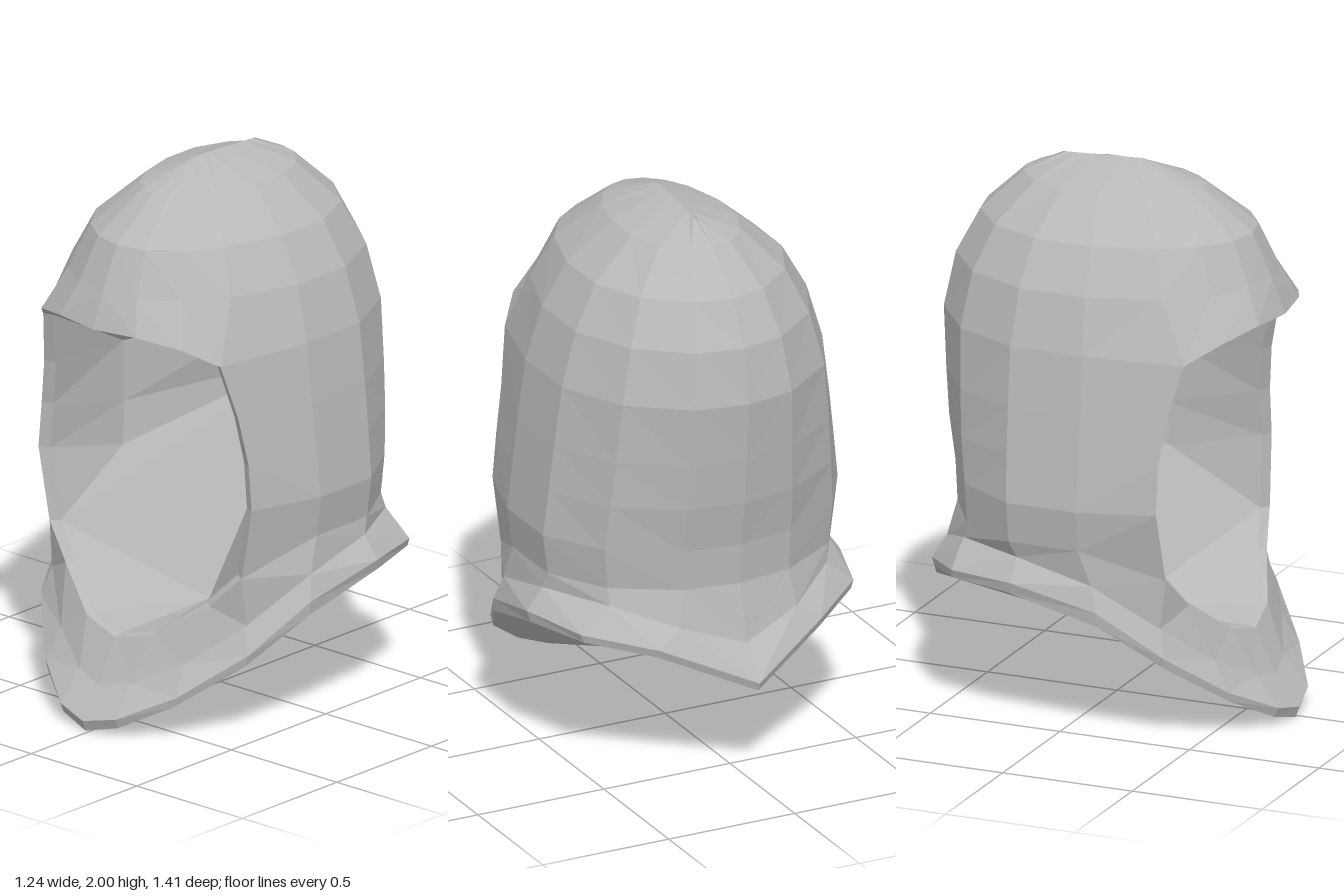
import * as THREE from 'three';

const V = (x, y, z) => new THREE.Vector3(x, y, z);
const line = (pts) => pts.map((p) => V(...p));

// The centre seam sits slightly to one side; the collar's widest points stay level
const lean = (x, y) => x - 0.016 * (y < 0.66 ? 1 - Math.abs(x) / 0.62 : 1);

// Mesh from the triangles of the +x half, mirrored to the other side
function halfMesh(name, tris, material) {
  const pos = [];
  const mirror = (p) => V(-p.x, p.y, p.z);
  for (const [a, b, c] of tris) {
    for (const p of [a, b, c, mirror(a), mirror(c), mirror(b)]) pos.push(lean(p.x, p.y), p.y, p.z);
  }
  const geo = new THREE.BufferGeometry();
  geo.setAttribute('position', new THREE.Float32BufferAttribute(pos, 3));
  geo.computeVertexNormals();
  const mesh = new THREE.Mesh(geo, material);
  mesh.name = name;
  return mesh;
}

// Skin between successive rows of points
function skin(rows) {
  const tris = [];
  for (let i = 0; i + 1 < rows.length; i++) {
    const lo = rows[i], hi = rows[i + 1];
    for (let j = 0; j + 1 < Math.min(lo.length, hi.length); j++) {
      tris.push([lo[j], hi[j], hi[j + 1]], [lo[j], hi[j + 1], lo[j + 1]]);
    }
  }
  return tris;
}

// Half ring of the hood, from the back centre round to the front
const ANGLES = [0, 21, 49, 77, 102, 127, 145, 163, 180];
function ring(y, w, zBack, zFront, count = 9) {
  const zc = -0.05;
  return ANGLES.slice(0, count).map((deg) => {
    const a = THREE.MathUtils.degToRad(deg);
    const c = Math.cos(a);
    const x = deg === 180 ? 0 : w * Math.sin(a);
    return V(x, y, zc - c * (c > 0 ? zc - zBack : zFront - zc));
  });
}

export function createModel() {
  const group = new THREE.Group();
  const cloth = new THREE.MeshStandardMaterial({ color: 0xb8b8b8 });
  cloth.name = 'grey cloth';
  cloth.flatShading = true;
  cloth.side = THREE.DoubleSide;

  // Collar loops: lower edge, lip and neck
  const hem = line([[0, 0.35, -0.69], [0.32, 0.49, -0.56], [0.53, 0.53, -0.4], [0.61, 0.53, -0.15],
    [0.585, 0.44, 0.18], [0.48, 0.28, 0.4], [0.3, 0.13, 0.57], [0.13, 0.035, 0.67], [0, 0, 0.695]]);
  const lip = line([[0, 0.38, -0.7], [0.32, 0.52, -0.57], [0.54, 0.56, -0.4], [0.62, 0.57, -0.14],
    [0.59, 0.49, 0.18], [0.49, 0.32, 0.4], [0.31, 0.165, 0.57], [0.13, 0.07, 0.685], [0, 0.04, 0.71]]);
  const neck = line([[0, 0.5, -0.6], [0.23, 0.58, -0.55], [0.43, 0.65, -0.4], [0.56, 0.65, -0.14],
    [0.565, 0.58, 0.15], [0.46, 0.42, 0.37], [0.29, 0.27, 0.51], [0.12, 0.18, 0.595], [0, 0.15, 0.62]]);
  group.add(halfMesh('collar', skin([hem, lip, neck]), cloth));

  // Edge of the face opening
  const chin = line([[0.455, 0.6, 0.39], [0.34, 0.48, 0.43], [0.16, 0.35, 0.515], [0, 0.31, 0.54]]);
  const cheek = line([[0.505, 0.86, 0.38], [0.49, 1.03, 0.38], [0.46, 1.2, 0.4], [0.42, 1.4, 0.45]]);
  const brow = line([[0.33, 1.47, 0.56], [0.18, 1.5, 0.63], [0, 1.495, 0.655]]);

  // Hood: side rows end at the opening, upper rows close over the crown
  const crown = ring(2, 0, -0.2, 0.11).map((p) => V(0, 1.995 + 0.05 * p.z, p.z));
  const hood = [
    neck,
    [...ring(0.71, 0.58, -0.55, 0.7, 5), ...chin],
    [...ring(0.86, 0.6, -0.555, 0.7, 5), cheek[0]],
    [...ring(1.03, 0.58, -0.585, 0.7, 5), cheek[1]],
    [...ring(1.2, 0.56, -0.6, 0.7, 5), cheek[2]],
    [...ring(1.42, 0.53, -0.615, 0.68, 5), cheek[3], ...brow],
    ring(1.62, 0.47, -0.575, 0.605),
    ring(1.78, 0.38, -0.49, 0.53),
    ring(1.92, 0.215, -0.34, 0.34),
    crown,
  ];
  group.add(halfMesh('hood', skin(hood), cloth));

  // Thickness of the opening edge
  const outer = [...brow.slice().reverse(), ...cheek.slice().reverse(), ...chin];
  const inner = outer.map((p) => V(p.x * 0.92, 0.9 + (p.y - 0.9) * 0.99, p.z - 0.02));
  group.add(halfMesh('openingEdge', skin([outer, inner]), cloth));

  // Faceted lining: a deep hollow with a crease down the centre and a low floor
  const r = inner;
  const top = V(0, 1.31, -0.42), mid = V(0, 1.09, -0.5), floor = V(0, 0.32, 0.04);
  const sideTop = V(0.425, 1.18, 0.02), sideLow = V(0.43, 0.95, 0.01), sideBase = V(0.425, 0.79, 0.02);
  group.add(halfMesh('lining', [
    [top, r[1], r[0]], [top, r[2], r[1]], [top, r[3], r[2]], [top, sideTop, r[3]],
    [sideTop, r[4], r[3]], [sideTop, r[5], r[4]], [sideTop, sideLow, r[5]],
    [sideLow, r[6], r[5]], [sideLow, sideBase, r[6]], [sideBase, r[7], r[6]],
    [top, mid, sideLow], [top, sideLow, sideTop],
    [mid, sideBase, sideLow], [mid, r[7], sideBase], [mid, floor, r[7]],
    [floor, r[8], r[7]], [floor, r[9], r[8]], [floor, r[10], r[9]],
  ], cloth));

  // Closed underside
  const centre = V(0, 0.24, 0);
  group.add(halfMesh('underside', hem.slice(1).map((p, j) => [centre, hem[j], p]), cloth));

  return group;
}
